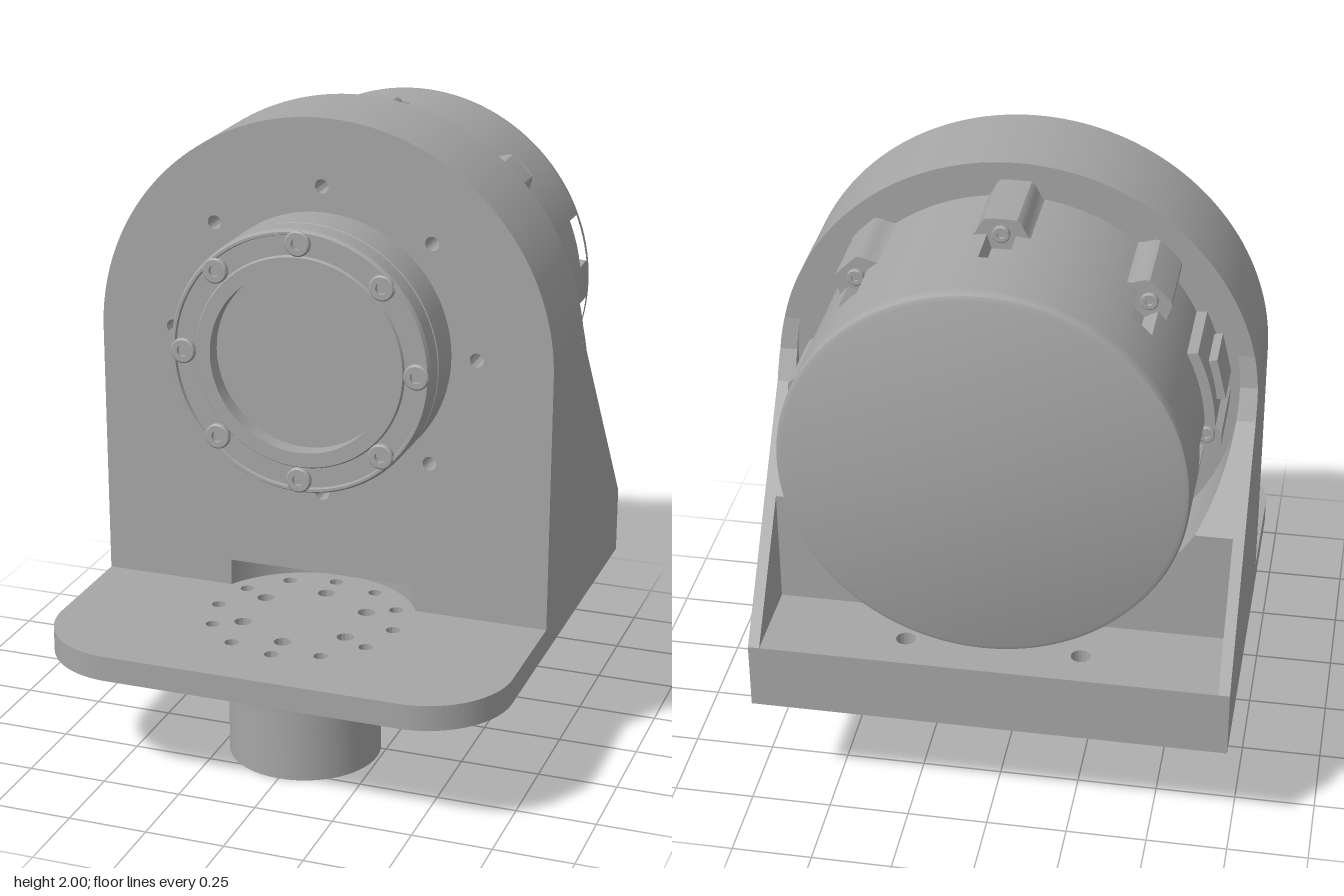
import * as THREE from 'three';
import { toCreasedNormals } from 'three/addons/utils/BufferGeometryUtils.js';

const AXIS = 1.295;   // height of the motor axis
const HUB_Z = 0.31;   // vertical hub axis
const HALF = 0.735;   // half width of the bracket
const BORE = 0.68;    // motor clearance radius
const rad = THREE.MathUtils.degToRad;

const metal = new THREE.MeshStandardMaterial({ color: 0xa6a6a6 });
metal.name = 'grey metal';

export function createModel() {
  const model = new THREE.Group();

  const add = (name, geo, parent = model) => {
    const mesh = new THREE.Mesh(toCreasedNormals(geo, 0.5), metal);
    mesh.name = name;
    parent.add(mesh);
    return mesh;
  };
  const group = (name) => {
    const g = new THREE.Group();
    g.name = name;
    model.add(g);
    return g;
  };
  const extrude = (shape, depth) =>
    new THREE.ExtrudeGeometry(shape, { depth, bevelEnabled: false, curveSegments: 40 });
  // Shape drawn in (x, -z), raised from y0 to y1
  const layer = (shape, y0, y1) => extrude(shape, y1 - y0).rotateX(-Math.PI / 2).translate(0, y0, 0);
  const hole = (shape, x, y, r) => {
    shape.holes.push(new THREE.Path().absarc(x, y, r, 0, Math.PI * 2, true));
  };
  const disc = (r) => new THREE.Shape().absarc(0, -HUB_Z, r, 0, Math.PI * 2, false);
  const holeRing = (shape, n, radius, r, cy) => {
    for (let i = 0; i < n; i++) {
      const a = Math.PI / 2 + i * Math.PI * 2 / n;
      hole(shape, radius * Math.cos(a), cy + radius * Math.sin(a), r);
    }
  };
  const lathe = (pts, seg = 72) => new THREE.LatheGeometry(pts.map(p => new THREE.Vector2(...p)), seg);

  // Base plate with rounded front corners and through holes
  const bracket = group('bracket');
  const c = 0.27, front = -0.79, back = 0.74;
  const plate = new THREE.Shape();
  plate.moveTo(HALF, back);
  plate.lineTo(-HALF, back);
  plate.lineTo(-HALF, front + c);
  plate.absarc(-HALF + c, front + c, c, Math.PI, Math.PI * 1.5, false);
  plate.absarc(HALF - c, front + c, c, Math.PI * 1.5, Math.PI * 2, false);
  holeRing(plate, 12, 0.29, 0.022, -HUB_Z);
  holeRing(plate, 6, 0.195, 0.027, -HUB_Z);
  for (const x of [-0.27, 0.27]) for (const y of [0.24, 0.617]) hole(plate, x, y, 0.03);
  add('basePlate', layer(plate, 0.365, 0.445), bracket);

  // Foot of the bracket with a round clearance above the hub
  const foot = new THREE.Shape();
  const bite = Math.asin(0.16 / 0.35);
  foot.moveTo(HALF, -0.15);
  foot.lineTo(HALF, back);
  foot.lineTo(-HALF, back);
  foot.lineTo(-HALF, -0.15);
  foot.absarc(0, -HUB_Z, 0.35, Math.PI - bite, bite, true);
  for (const x of [-0.27, 0.27]) hole(foot, x, 0.617, 0.03);
  add('bracketFoot', layer(foot, 0.445, 0.53), bracket);

  // Rear ledge
  const ledge = new THREE.Shape();
  ledge.moveTo(-HALF, 0.456);
  ledge.lineTo(HALF, 0.456);
  ledge.lineTo(HALF, back);
  ledge.lineTo(-HALF, back);
  for (const x of [-0.27, 0.27]) hole(ledge, x, 0.617, 0.03);
  add('rearLedge', layer(ledge, 0.53, 0.58), bracket);

  // Arched upright with a circle of small holes
  const arch = new THREE.Shape();
  arch.moveTo(-HALF, 0.53);
  arch.lineTo(HALF, 0.53);
  arch.absarc(0, 1.265, HALF, 0, Math.PI, false);
  holeRing(arch, 8, 0.495, 0.022, AXIS);
  add('archedUpright', extrude(arch, 0.33).translate(0, 0, -0.18), bracket);

  // Saddle under the motor
  const saddleTop = 0.949;
  const sa = Math.asin((AXIS - saddleTop) / BORE);
  const saddle = new THREE.Shape();
  saddle.moveTo(-HALF, 0.53);
  saddle.lineTo(HALF, 0.53);
  saddle.lineTo(HALF, saddleTop);
  saddle.absarc(0, AXIS, BORE, -sa, -Math.PI + sa, true);
  saddle.lineTo(-HALF, saddleTop);
  add('motorSaddle', extrude(saddle, 0.276).translate(0, 0, -0.456), bracket);

  // Sloping gussets on both sides, easing into the upright
  const inner = y => Math.sqrt(BORE ** 2 - (y - AXIS) ** 2);
  const outer = y => y > 1.265 ? Math.sqrt(HALF ** 2 - (y - 1.265) ** 2) : HALF;
  const slope = [[saddleTop, -0.456], [1.23, -0.24], [1.32, -0.195], [1.42, -0.18]];
  for (const side of [-1, 1]) {
    for (let k = 0; k < 3; k++) {
      const [y0, z0] = slope[k], [y1, z1] = slope[k + 1];
      const pts = [];
      for (let i = 0; i <= 8; i++) {
        const y = y0 + (y1 - y0) * i / 8;
        pts.push(new THREE.Vector2(side * inner(y), y));
        pts.unshift(new THREE.Vector2(side * outer(y), y));
      }
      const geo = extrude(new THREE.Shape(pts), 1);
      const p = geo.attributes.position;
      for (let i = 0; i < p.count; i++) {
        const t = (p.getY(i) - y0) / (y1 - y0);
        p.setZ(i, p.getZ(i) > 0.5 ? -0.18 : z0 + (z1 - z0) * t);
      }
      add('gusset', geo, bracket);
    }
    // Thin side wall beside the rear ledge
    const wall = new THREE.Shape();
    wall.moveTo(-0.74, 0.57);
    wall.lineTo(-0.456, 0.57);
    wall.lineTo(-0.456, saddleTop);
    wall.lineTo(-0.74, 0.58);
    add('sideWall', extrude(wall, 0.035).rotateY(-Math.PI / 2)
      .translate(side > 0 ? HALF : -0.7, 0, 0), bracket);
  }

  // Motor housing: stacked sections with bosses, grooves and windows
  const motor = group('motor');
  motor.position.y = AXIS;
  const R = 0.6;
  const fromRib = d => Math.abs(((d + 22.5) % 45) - 22.5);
  const within = (d, lo, hi) => {
    const s = d > 180 ? d - 360 : d;
    return s >= lo && s <= hi;
  };
  const bosses = d => {
    if (within(d, 155, 178)) return 0.63;
    return R + 0.05 * THREE.MathUtils.clamp((7.5 - fromRib(d)) / 3, 0, 1);
  };
  const grooves = d => fromRib(d) <= 3 ? R - 0.045 : R;
  const slot = d => within(d, -29, -15) ? R - 0.05 : R;
  const windows = d =>
    [[8, 21], [-21, -6], [-39, -23], [-65, -52]].some(w => within(d, ...w)) ? R - 0.05 : R;
  const sections = [
    ['bossSection', -0.18, -0.43, bosses],
    ['groovedSection', -0.43, -0.53, grooves],
    ['slottedGrooves', -0.53, -0.57, d => Math.min(grooves(d), slot(d))],
    ['slotSection', -0.57, -0.63, slot],
    ['plainSection', -0.63, -0.67, () => R],
    ['windowSection', -0.67, -0.75, windows],
  ];
  for (const [name, z0, z1, rule] of sections) {
    const pts = [];
    for (let d = 0; d < 360; d++) {
      const r = rule(d);
      pts.push(new THREE.Vector2(r * Math.cos(rad(d)), r * Math.sin(rad(d))));
    }
    add(name, extrude(new THREE.Shape(pts), z0 - z1).translate(0, 0, z1), motor);
  }
  add('rearCap', lathe([[R, 0.75], [R, 0.77], [0.594, 0.784], [0.58, 0.79], [0, 0.79]], 120)
    .rotateX(-Math.PI / 2), motor);
  add('connector', new THREE.BoxGeometry(0.05, 0.13, 0.16).rotateZ(rad(-13))
    .translate(-0.612, 0.14, -0.28), motor);

  // Output flange with a recessed centre
  add('outputFlange', lathe([[0.415, 0.15], [0.415, 0.275], [0.408, 0.278], [0.408, 0.282],
    [0.415, 0.285], [0.415, 0.35], [0.408, 0.362], [0.4, 0.362], [0.397, 0.352], [0.335, 0.352],
    [0.33, 0.36], [0.285, 0.36], [0.285, 0.305], [0, 0.305]], 96).rotateX(Math.PI / 2), motor);

  // Socket screws on the flange and behind the housing bosses
  const screw = s => lathe([[0.04, 0], [0.04, 0.018], [0.035, 0.022], [0.018, 0.022],
    [0.018, 0.006], [0, 0.006]].map(p => [p[0] * s, p[1] * s]), 20);
  for (let i = 0; i < 8; i++) {
    const a = i * Math.PI / 4;
    add('flangeScrew', screw(1).rotateX(Math.PI / 2), motor)
      .position.set(0.373 * Math.cos(a), 0.373 * Math.sin(a), 0.345);
    add('housingScrew', screw(0.65).rotateX(-Math.PI / 2), motor)
      .position.set(0.605 * Math.cos(a), 0.605 * Math.sin(a), -0.428);
  }

  // Stepped hub under the base plate
  const hub = group('hub');
  const steps = [['hubFlange', 0.345, 0.28, 0.365], ['hubCollar', 0.25, 0.205, 0.28],
    ['hubNeck', 0.243, 0.19, 0.205], ['hubBody', 0.24, 0, 0.19]];
  for (const [name, r, y0, y1] of steps) {
    const shape = disc(r);
    holeRing(shape, 6, 0.195, 0.027, -HUB_Z);
    if (r > 0.3) holeRing(shape, 12, 0.29, 0.022, -HUB_Z);
    add(name, layer(shape, y0, y1), hub);
  }
  return model;
}
